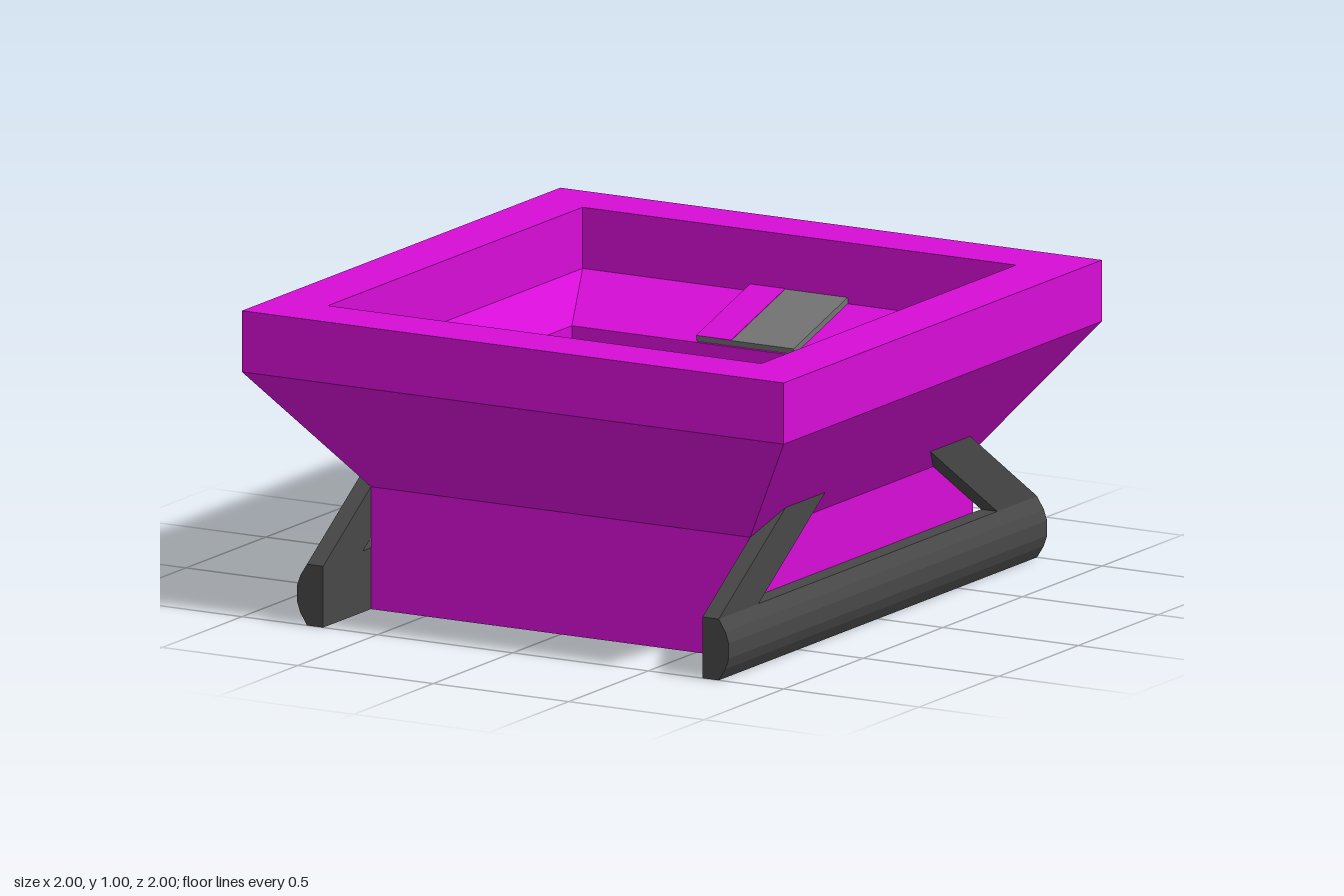
import * as THREE from 'three';

const magenta = new THREE.MeshStandardMaterial({ color: 0xd60dd6 });
magenta.name = 'magenta';
const darkGrey = new THREE.MeshStandardMaterial({ color: 0x484848 });
darkGrey.name = 'dark grey';
const midGrey = new THREE.MeshStandardMaterial({ color: 0x747474 });
midGrey.name = 'mid grey';

function add(parent, name, geometry, material, x = 0, y = 0, z = 0) {
  const mesh = new THREE.Mesh(geometry, material);
  mesh.name = name;
  mesh.position.set(x, y, z);
  parent.add(mesh);
  return mesh;
}

// Skin through rectangular rings given as [half width, half depth, height]
function ringLoft(rings) {
  const corners = [[-1, 1], [1, 1], [1, -1], [-1, -1]];
  const point = ([w, d, y], k) => [corners[k % 4][0] * w, y, corners[k % 4][1] * d];
  const positions = [];
  for (let i = 0; i < rings.length - 1; i++) {
    for (let k = 0; k < 4; k++) {
      const a = point(rings[i], k), b = point(rings[i], k + 1);
      const c = point(rings[i + 1], k + 1), d = point(rings[i + 1], k);
      positions.push(...a, ...b, ...c, ...a, ...c, ...d);
    }
  }
  const geometry = new THREE.BufferGeometry();
  geometry.setAttribute('position', new THREE.Float32BufferAttribute(positions, 3));
  geometry.computeVertexNormals();
  return geometry;
}

function extrude(points, depth) {
  const shape = new THREE.Shape(points.map(([x, y]) => new THREE.Vector2(x, y)));
  return new THREE.ExtrudeGeometry(shape, { depth, bevelEnabled: false });
}

// Octagonal roller with one tooth per face, set in a spiral
function makeRoller(side) {
  const roller = new THREE.Group();
  roller.name = side > 0 ? 'frontRoller' : 'backRoller';
  roller.position.set(0, 0.5, side * 0.225);
  const drum = new THREE.CylinderGeometry(0.2, 0.2, 1.28, 8).toNonIndexed();
  drum.rotateY(Math.PI / 8).rotateZ(Math.PI / 2);
  drum.computeVertexNormals();
  add(roller, 'drum', drum, darkGrey);
  for (let i = 0; i < 8; i++) {
    const tooth = new THREE.ConeGeometry(0.053, 0.05, 4).toNonIndexed();
    tooth.rotateY(Math.PI / 4).translate(0, 0.2, 0);
    tooth.computeVertexNormals();
    add(roller, 'tooth', tooth, magenta, -0.615 + i * 0.175).rotation.x = side * i * Math.PI / 4;
  }
  return roller;
}

// Tilted plate resting on the inner slope, with a magenta strip along one side
function makePlate(side) {
  const plate = new THREE.Group();
  plate.name = side > 0 ? 'frontPlate' : 'backPlate';
  plate.position.set(0, 0.762, side * 0.63);
  plate.rotation.x = -side * Math.atan2(0.1, 0.34);
  add(plate, 'plateBody', new THREE.BoxGeometry(0.36, 0.02, 0.354), midGrey);
  add(plate, 'plateStrip', new THREE.BoxGeometry(0.13, 0.004, 0.354), magenta, -0.115, 0.01);
  return plate;
}

// Skid rail with two leaning struts
function makeSkid(side) {
  const skid = new THREE.Group();
  skid.name = side > 0 ? 'leftSkid' : 'rightSkid';
  const profile = [[0.7, 0], [0.76, 0], [0.785, 0.04], [0.797, 0.075],
    [0.797, 0.125], [0.785, 0.16], [0.76, 0.2], [0.7, 0.2]];
  add(skid, 'rail', extrude(profile, 2), darkGrey, 0, 0, -1);
  for (const end of [1, -1]) {
    const outline = [[1, 0.2], [0.58, 0.48], [0.33, 0.48], [0.75, 0.2]].map(([z, y]) => [-z * end, y]);
    const strut = extrude(outline, 0.06).rotateY(Math.PI / 2);
    add(skid, end > 0 ? 'frontStrut' : 'backStrut', strut, darkGrey, 0.7);
  }
  // The skid is symmetric front to back, so a half turn mirrors it
  if (side < 0) skid.rotation.y = Math.PI;
  return skid;
}

export function createModel() {
  const model = new THREE.Group();
  model.name = 'shredderHopper';

  // Body: underside, outer walls, rim, inner slope, pit and floor
  add(model, 'hopperBody', ringLoft([
    [0, 0, 0], [0.7, 0.7, 0], [0.7, 0.7, 0.4], [1, 1, 0.8], [1, 1, 1],
    [0.8, 0.8, 1], [0.8, 0.8, 0.8], [0.64, 0.46, 0.7], [0.64, 0.46, 0.3], [0, 0, 0.3],
  ]), magenta);

  for (const side of [1, -1]) {
    model.add(makeRoller(side), makePlate(side), makeSkid(side));
  }
  return model;
}
